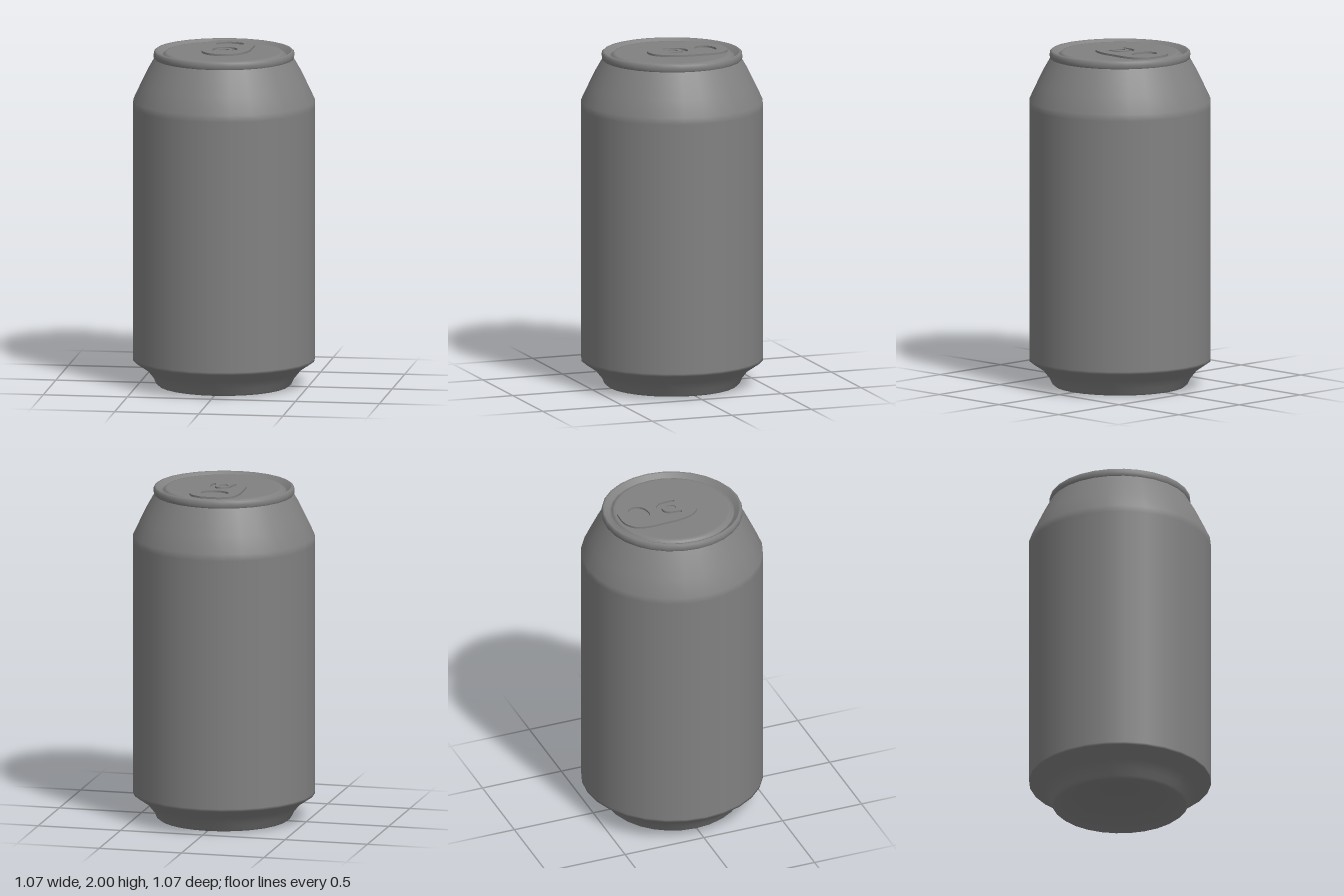
import * as THREE from 'three';

const SIDES = 28;
const LID_Y = 1.988;
const darkGrey = new THREE.MeshStandardMaterial({ color: 0x818181 });

function addMesh(group, name, geometry) {
  const mesh = new THREE.Mesh(geometry, darkGrey);
  mesh.name = name;
  group.add(mesh);
}

function lathe(profile) {
  return new THREE.LatheGeometry(profile.map(([r, y]) => new THREE.Vector2(r, y)), SIDES);
}

// Flat plate lying on the lid; shape y points to the back (-z)
function plate(shape, height) {
  const geometry = new THREE.ExtrudeGeometry(shape, { depth: height, bevelEnabled: false, curveSegments: 10 });
  geometry.rotateX(-Math.PI / 2);
  geometry.translate(0, LID_Y, 0);
  return geometry;
}

export function createModel() {
  const can = new THREE.Group();
  can.name = 'drinkCan';

  // Domed underside, from the centre out to the standing ring
  addMesh(can, 'bottomDome', lathe([
    [0, 0.12], [0.12, 0.11], [0.22, 0.085], [0.31, 0.05], [0.36, 0.018], [0.386, 0],
  ]));

  // Flared foot, straight wall and tapered shoulder in one smooth skin
  addMesh(can, 'body', lathe([
    [0.386, 0], [0.4, 0.012], [0.415, 0.045], [0.455, 0.095], [0.536, 0.15], [0.536, 0.165],
    [0.536, 1.66], [0.536, 1.7], [0.489, 1.8], [0.45, 1.88], [0.41, 1.95],
  ]));

  // Rolled rim, the shallow groove inside it and the lid
  addMesh(can, 'rimAndLid', lathe([
    [0.41, 1.95], [0.414, 1.957], [0.416, 1.972], [0.413, 1.99], [0.404, 1.998],
    [0.394, 1.995], [0.37, 1.972], [0.361, 1.97], [0.352, 1.98], [0.345, LID_Y],
    [0.33, LID_Y], [0, LID_Y],
  ]));

  // Pull tab outline, slightly wider at the back
  const outline = [
    [0.005, 0.328], [0.07, 0.322], [0.13, 0.28], [0.155, 0.2], [0.153, 0.1], [0.149, 0],
    [0.115, -0.085], [0.065, -0.135], [0.005, -0.15], [-0.06, -0.135], [-0.11, -0.085],
    [-0.135, 0], [-0.141, 0.1], [-0.143, 0.2], [-0.12, 0.28], [-0.06, 0.322],
  ].map(([x, y]) => new THREE.Vector3(x, y, 0)).reverse();
  const curve = new THREE.CatmullRomCurve3(outline, true);
  const tab = new THREE.Shape(curve.getPoints(48).slice(0, -1).map(p => new THREE.Vector2(p.x, p.y)));

  // Finger hole
  const fingerHole = new THREE.Path();
  fingerHole.absellipse(0.004, 0.208, 0.084, 0.063, 0, Math.PI * 2, true);
  tab.holes.push(fingerHole);

  // Arched slot with rounded ends around the rivet
  const slot = new THREE.Path();
  slot.moveTo(-0.068, -0.03);
  slot.lineTo(-0.068, 0.022);
  slot.absarc(0.004, 0.022, 0.072, Math.PI, 0, true);
  slot.lineTo(0.077, -0.03);
  slot.absarc(0.066, -0.03, 0.011, 0, -Math.PI, true);
  slot.lineTo(0.05, 0.015);
  slot.absarc(0.004, 0.015, 0.046, 0, Math.PI, false);
  slot.lineTo(-0.046, -0.03);
  slot.absarc(-0.057, -0.03, 0.011, 0, -Math.PI, true);
  tab.holes.push(slot);

  // Round seat for the rivet
  const rivetHole = new THREE.Path();
  rivetHole.absarc(0.001, 0.005, 0.028, 0, Math.PI * 2, true);
  tab.holes.push(rivetHole);
  addMesh(can, 'pullTab', plate(tab, 0.012));

  // Rivet head, slightly sunk in the tab
  const rivet = new THREE.Shape();
  rivet.absarc(0.001, 0.005, 0.028, 0, Math.PI * 2, false);
  addMesh(can, 'rivet', plate(rivet, 0.006));

  return can;
}
